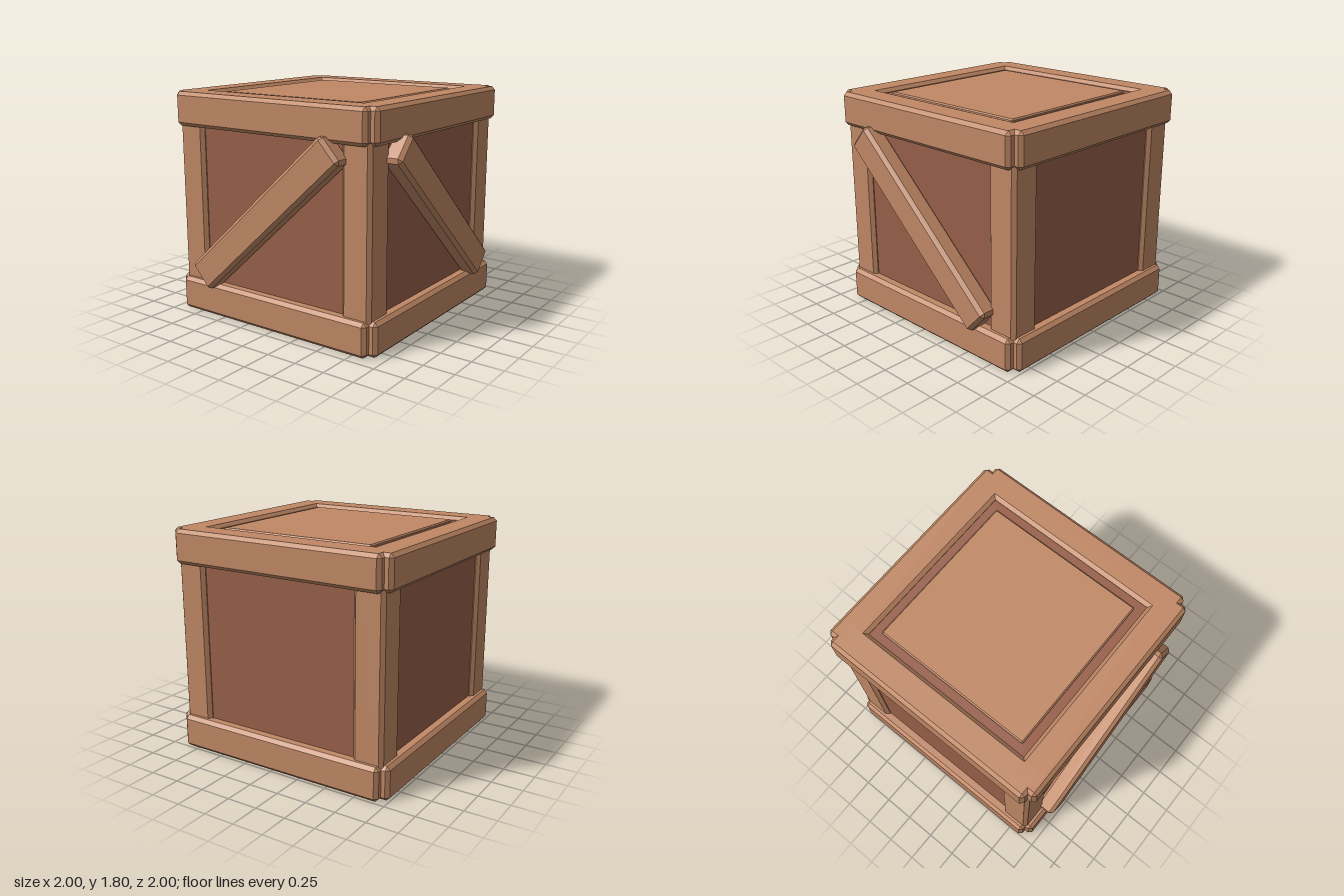
import * as THREE from 'three';
import { ConvexGeometry } from 'three/addons/geometries/ConvexGeometry.js';

// Box with every edge cut at 45 degrees
function chamferBox(w, h, d, c) {
  const [x, y, z] = [w / 2, h / 2, d / 2];
  const points = [];
  for (const sx of [-1, 1]) for (const sy of [-1, 1]) for (const sz of [-1, 1]) {
    points.push(
      new THREE.Vector3(sx * x, sy * (y - c), sz * (z - c)),
      new THREE.Vector3(sx * (x - c), sy * y, sz * (z - c)),
      new THREE.Vector3(sx * (x - c), sy * (y - c), sz * z));
  }
  return new ConvexGeometry(points);
}

export function createModel() {
  const wood = new THREE.MeshStandardMaterial({ color: 0xc08865 });
  wood.name = 'lightWood';
  const darkWood = new THREE.MeshStandardMaterial({ color: 0x985f49 });
  darkWood.name = 'darkWood';

  const crate = new THREE.Group();
  crate.name = 'crate';
  const add = (name, geometry, material, x, y, z) => {
    const mesh = new THREE.Mesh(geometry, material);
    mesh.name = name;
    mesh.position.set(x, y, z);
    crate.add(mesh);
    return mesh;
  };

  const bevel = 0.028;
  const half = 0.967;

  // Recessed dark panels
  add('panelCore', new THREE.BoxGeometry(1.764, 1.735, 1.764), darkWood, 0, 0.9, 0);

  // Raised lid board
  add('lidBoard', chamferBox(1.32, 0.05, 1.32, 0.01), wood, 0, 1.763, 0);

  // Bottom and top frames, four rails each
  const railWidth = 0.24, railHeight = 0.27, railLength = 1.815;
  const railX = chamferBox(railLength, railHeight, railWidth, bevel);
  const railZ = chamferBox(railWidth, railHeight, railLength, bevel);
  const offset = half - railWidth / 2;
  for (const [label, y] of [['bottom', railHeight / 2], ['top', 1.8 - railHeight / 2]]) {
    for (const s of [-1, 1]) {
      add(label + 'RailX', railX, wood, 0, y, s * offset);
      add(label + 'RailZ', railZ, wood, s * offset, y, 0);
    }
  }

  // Corner posts
  const post = chamferBox(0.25, 1.75, 0.25, bevel);
  for (const sx of [-1, 1]) for (const sz of [-1, 1]) {
    add('cornerPost', post, wood, sx * 0.792, 0.89, sz * 0.792);
  }

  // Diagonal braces on the front and left faces, both rising to the shared corner
  const brace = chamferBox(1.75, 0.255, 0.16, bevel);
  const tilt = THREE.MathUtils.degToRad(42.3);
  add('frontBrace', brace, wood, 0, 0.913, 0.953).rotation.z = tilt;
  add('leftBrace', brace, wood, 0.953, 0.913, 0).rotation.set(0, Math.PI / 2, -tilt, 'YXZ');

  // Shift the body so that the braces count in the centring
  crate.position.set(-0.033, 0, -0.033);
  const model = new THREE.Group();
  model.name = 'woodenCrate';
  model.add(crate);
  return model;
}
